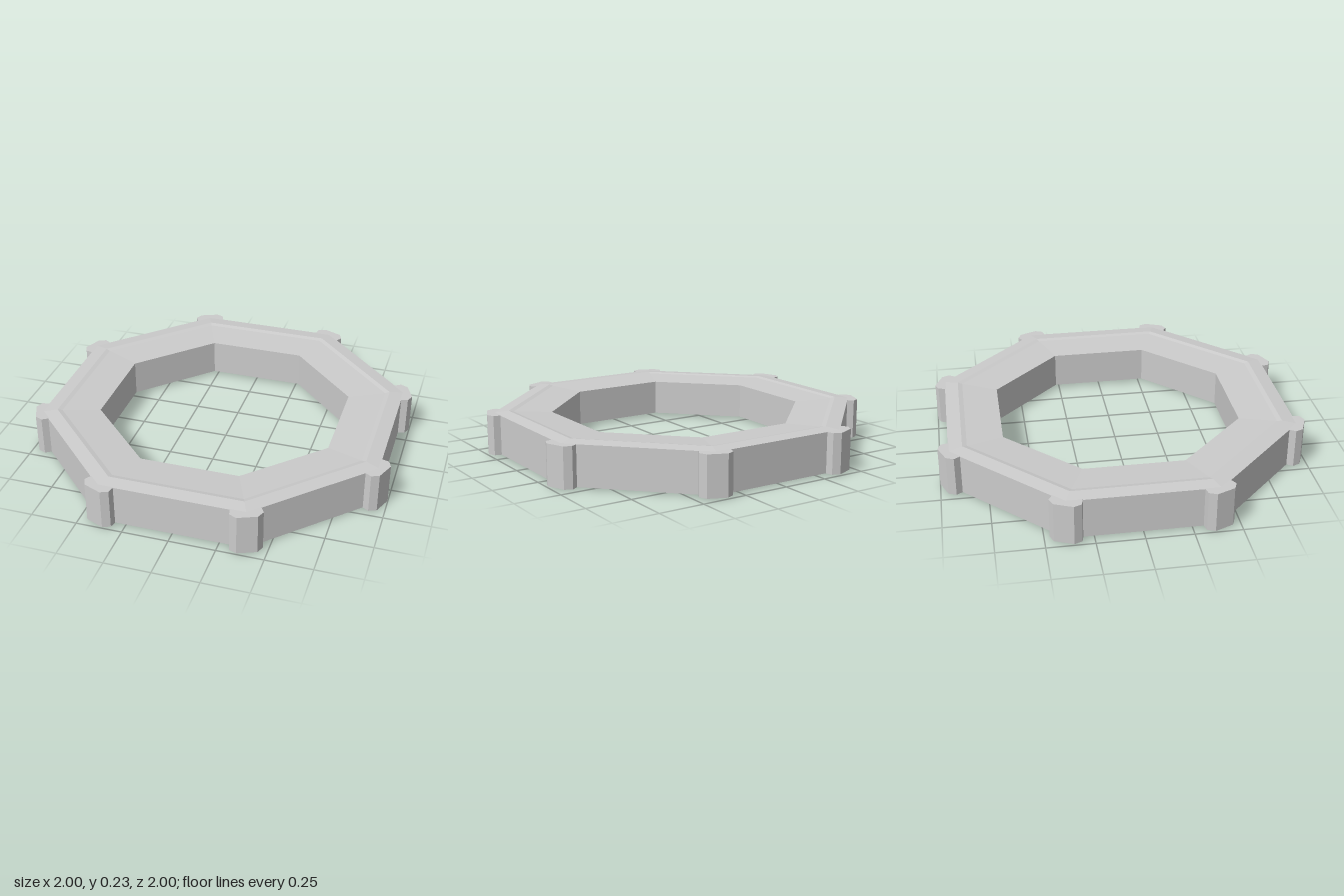
import * as THREE from 'three';

const SIDES = 8;
const HEIGHT = 0.235;

export function createModel() {
  const group = new THREE.Group();
  const material = new THREE.MeshStandardMaterial({ color: 0xcccccc, flatShading: true });

  // Octagonal ring: half of its cross-section as [apothem, half height], mirrored top to bottom
  const half = [[0.65, 0.1], [0.845, 0.112], [0.87, 0.1175], [0.945, 0.11]];
  const toPoint = (a, y) => new THREE.Vector2(a / Math.cos(Math.PI / SIDES), HEIGHT / 2 + y);
  const profile = [
    ...half.map(([a, y]) => toPoint(a, -y)),
    ...half.slice().reverse().map(([a, y]) => toPoint(a, y)),
    toPoint(half[0][0], -half[0][1]),
  ];
  const ring = new THREE.Mesh(new THREE.LatheGeometry(profile, SIDES, Math.PI / SIDES), material);
  ring.name = 'octagonalRing';
  group.add(ring);

  // Corner lug: x runs outward, y runs along the rim
  const side = [[0.95, 0.07], [0.987, 0.078], [1.028, 0.085], [1.06, 0.053]];
  const outline = [
    ...side.map(([r, t]) => new THREE.Vector2(r, -t)),
    ...side.slice().reverse().map(([r, t]) => new THREE.Vector2(r, t)),
  ];
  const lugHeight = 0.221;
  const lugGeometry = new THREE.ExtrudeGeometry(new THREE.Shape(outline), { depth: lugHeight, bevelEnabled: false });
  lugGeometry.rotateX(-Math.PI / 2);
  lugGeometry.translate(0, (HEIGHT - lugHeight) / 2, 0);

  for (let i = 0; i < SIDES; i++) {
    const lug = new THREE.Mesh(lugGeometry, material);
    lug.name = `cornerLug${i + 1}`;
    lug.rotation.y = ((i + 0.5) * 2 * Math.PI) / SIDES;
    group.add(lug);
  }

  return group;
}
